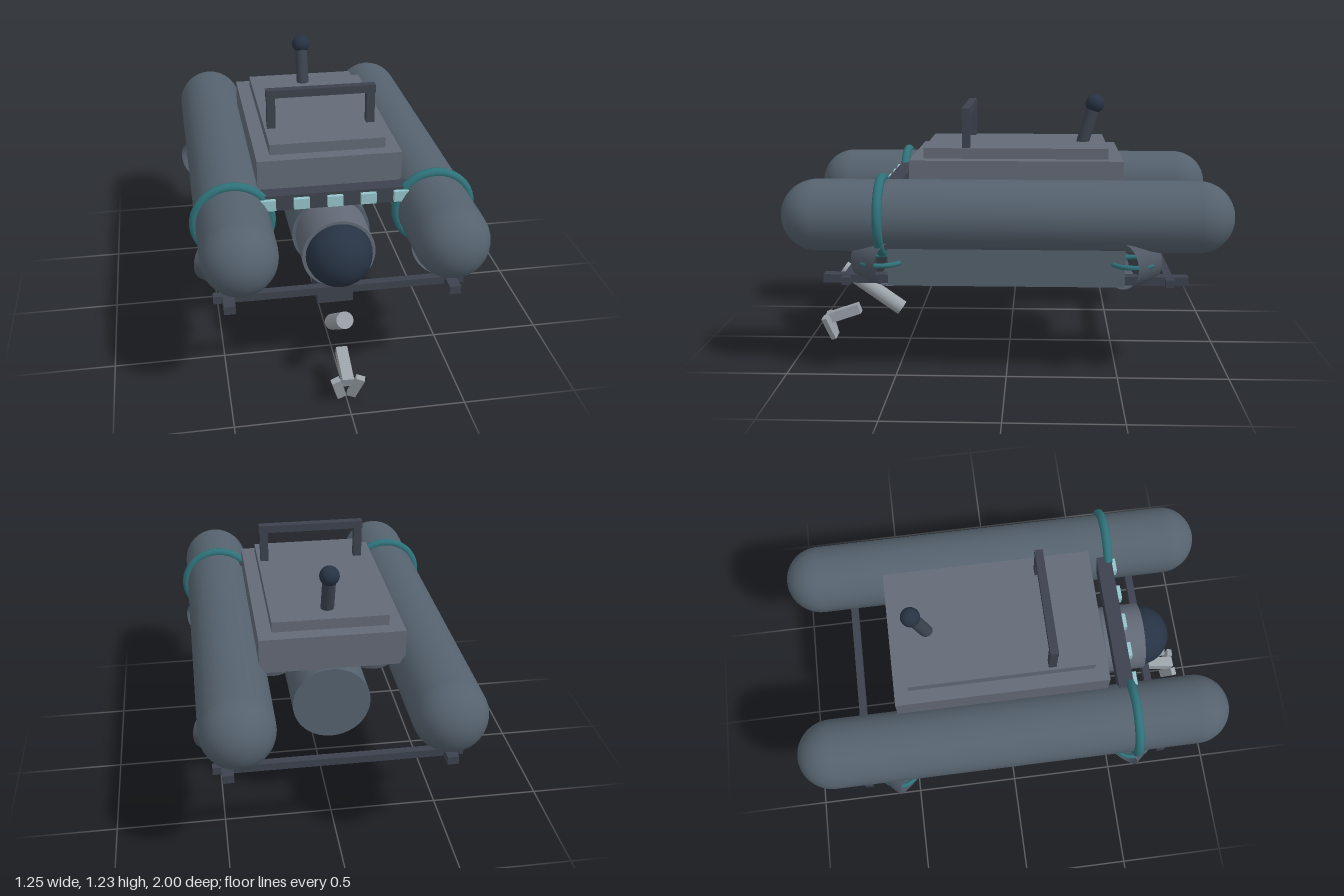
import * as THREE from 'three';

const mat = (color, side = THREE.FrontSide) => new THREE.MeshStandardMaterial({ color, side });
const floatMat = mat(0x55626e), deckMat = mat(0x636a77), darkMat = mat(0x3c424e), domeMat = mat(0x273344);
const tealMat = mat(0x2f727a), lightMat = mat(0x94c4ca), armMat = mat(0x9ba2a8);
const ductMat = mat(0x4f5864, THREE.DoubleSide);
const UP = new THREE.Vector3(0, 1, 0);

export function createModel() {
  const root = new THREE.Group();

  function add(name, geometry, material, x = 0, y = 0, z = 0, parent = root) {
    const mesh = new THREE.Mesh(geometry, material);
    mesh.name = name;
    mesh.position.set(x, y, z);
    parent.add(mesh);
    return mesh;
  }
  // Box given by its limits on each axis
  const box = (name, material, [x0, x1], [y0, y1], [z0, z1]) =>
    add(name, new THREE.BoxGeometry(x1 - x0, y1 - y0, z1 - z0), material,
      (x0 + x1) / 2, (y0 + y1) / 2, (z0 + z1) / 2);
  // Rod or bar running from a to b
  function link(name, material, a, b, makeGeometry) {
    const p = new THREE.Vector3(...a), q = new THREE.Vector3(...b);
    const d = q.clone().sub(p);
    const mesh = add(name, makeGeometry(d.length()), material, ...p.add(q).multiplyScalar(0.5).toArray());
    mesh.quaternion.setFromUnitVectors(UP, d.normalize());
    return mesh;
  }
  // Open duct with a guard ring standing along its axis
  function thruster(name, x, y, z) {
    const g = new THREE.Group();
    g.name = name;
    g.position.set(x, y, z);
    add('duct', new THREE.CylinderGeometry(0.105, 0.1, 0.165, 24, 1, true), ductMat, 0, 0, 0, g);
    add('guardRing', new THREE.TorusGeometry(0.095, 0.011, 8, 32), tealMat, 0, 0, 0, g);
    root.add(g);
    return g;
  }

  for (const s of [1, -1]) {
    // Floats and their bands
    add('float', new THREE.CapsuleGeometry(0.16, 1.68, 12, 32), floatMat, s * 0.44, 0.735, 0).rotation.x = Math.PI / 2;
    add('floatBand', new THREE.TorusGeometry(0.165, 0.021, 10, 40), tealMat, s * 0.44, 0.737, 0.55);

    // Skid, side plate and posts
    const span = (a, b) => (s > 0 ? [a, b] : [-b, -a]);
    box('skid', darkMat, span(0.46, 0.51), [0.442, 0.48], [-0.8, 0.81]);
    box('sidePlate', floatMat, span(0.5, 0.53), [0.437, 0.605], [-0.52, 0.52]);
    for (const z of [0.6, -0.6]) box('skidPost', darkMat, span(0.465, 0.505), [0.46, 0.62], [z - 0.02, z + 0.02]);

    // Angled thrusters at the corners, upright ones beside the hull
    for (const f of [1, -1]) {
      const t = thruster('cornerThruster', s * 0.488, 0.54, f * 0.555);
      t.rotation.set(Math.PI / 2, s * f * -Math.PI / 4, 0, 'YXZ');
    }
    thruster('uprightThruster', s * 0.24, 0.7, -0.15);

    // Handle posts
    box('handlePost', darkMat, span(0.207, 0.245), [1.0, 1.16], [0.175, 0.21]);

    // Gripper fingers
    link('gripperFinger', armMat, [s * 0.055, 0.13, 0.918], [s * 0.022, 0.015, 0.878],
      (l) => new THREE.BoxGeometry(0.026, l, 0.04));
  }

  // Cross bars joining the skids
  for (const z of [0.705, -0.715]) box('crossBar', darkMat, [-0.548, 0.548], [0.442, 0.477], [z - 0.018, z + 0.018]);

  // Central pressure hull with collar and viewing dome
  const hull = add('hull', new THREE.CylinderGeometry(0.175, 0.175, 0.98, 40), floatMat, 0, 0.608, -0.01);
  const collar = add('hullCollar', new THREE.CylinderGeometry(0.16, 0.16, 0.21, 40), deckMat, 0, 0.608, 0.57);
  const dome = add('viewingDome', new THREE.SphereGeometry(0.145, 36, 14, 0, Math.PI * 2, 0, Math.PI / 2), domeMat, 0, 0.61, 0.67);
  for (const m of [hull, collar, dome]) m.rotation.x = Math.PI / 2;

  // Deck
  box('deckBody', deckMat, [-0.32, 0.32], [0.8, 0.96], [-0.52, 0.445]);
  box('deckPlate', deckMat, [-0.257, 0.257], [0.95, 1.008], [-0.455, 0.385]);
  box('handleBar', darkMat, [-0.248, 0.248], [1.152, 1.188], [0.174, 0.211]);

  // Light bar with five lamps
  box('lightBar', darkMat, [-0.33, 0.33], [0.782, 0.852], [0.495, 0.565]);
  for (let i = -2; i <= 2; i++) {
    const x = i * 0.145;
    box('lamp', lightMat, [x - 0.034, x + 0.034], [0.792, 0.84], [0.56, 0.585]);
  }

  // Leaning mast with round tip
  link('mast', darkMat, [0, 0.98, -0.34], [0, 1.18, -0.4], (l) => new THREE.CylinderGeometry(0.03, 0.03, l, 20));
  add('mastTip', new THREE.SphereGeometry(0.044, 24, 16), domeMat, 0, 1.187, -0.403);

  // Arm mount, arm and wrist
  box('armMount', darkMat, [-0.08, 0.08], [0.315, 0.46], [0.44, 0.6]);
  link('arm', armMat, [0, 0.37, 0.825], [0, 0.165, 0.54], (l) => new THREE.CylinderGeometry(0.037, 0.037, l, 20));
  link('wrist', armMat, [0, 0.163, 0.752], [0, 0.107, 0.915], (l) => new THREE.BoxGeometry(0.05, l, 0.05));

  return root;
}
